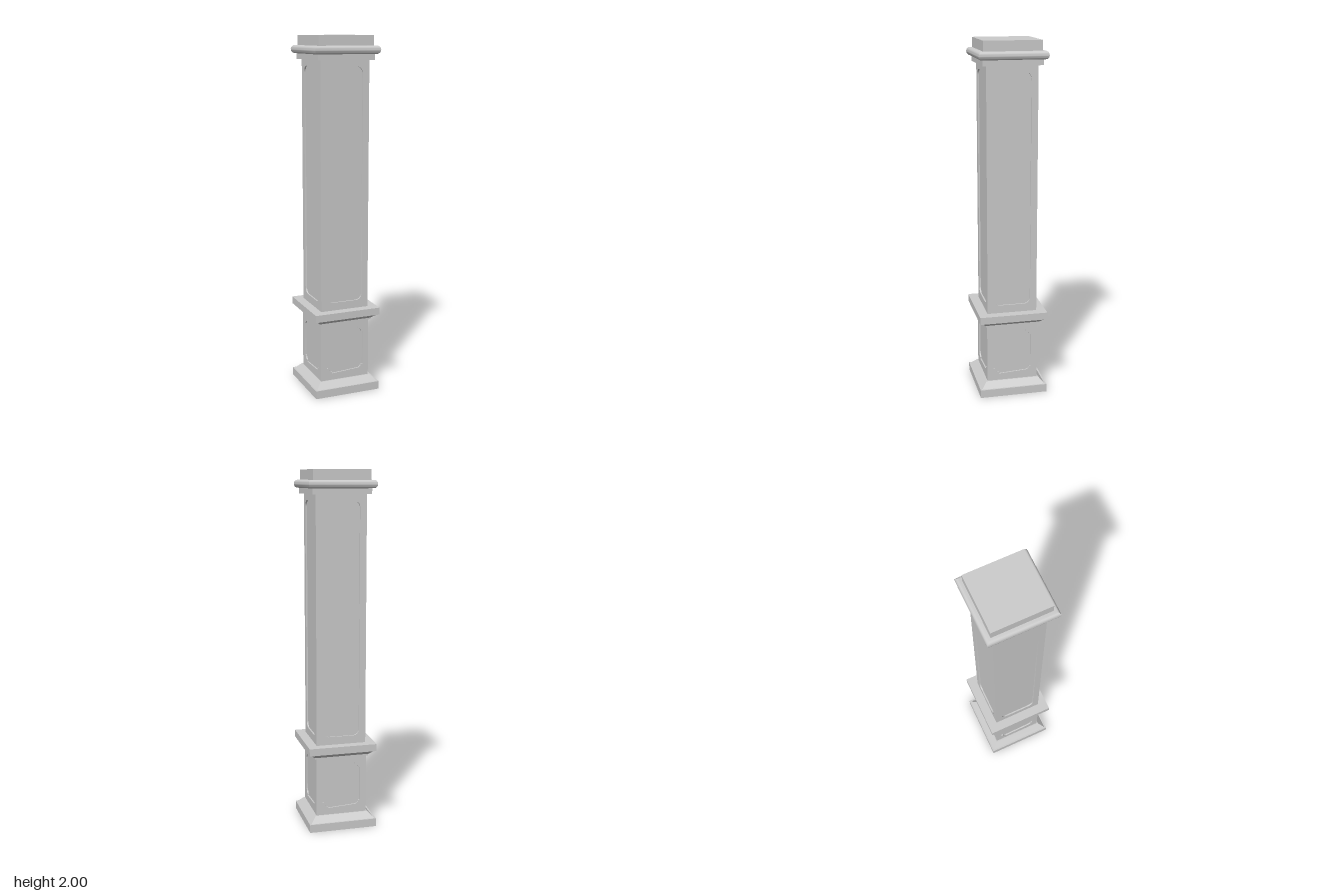
import * as THREE from 'three';
import { toCreasedNormals } from 'three/addons/utils/BufferGeometryUtils.js';

const material = new THREE.MeshStandardMaterial({ color: 0xcccccc });

function addMesh(parent, name, geometry) {
  const mesh = new THREE.Mesh(geometry, material);
  mesh.name = name;
  parent.add(mesh);
  return mesh;
}

// Square moulding: a [halfWidth, y] profile, bottom to top, turned with four sides
function squareMoulding(profile) {
  const pts = [[0, profile[0][1]], ...profile, [0, profile.at(-1)[1]]]
    .map(([h, y]) => new THREE.Vector2(h * Math.SQRT2, y));
  const geo = new THREE.LatheGeometry(pts, 4).rotateY(Math.PI / 4);
  return toCreasedNormals(geo, 0.55);
}

// Panel outline with rounded corners
function roundedPanel(w, y0, y1, r) {
  const p = new THREE.Path();
  p.absarc(w - r, y0 + r, r, -Math.PI / 2, 0);
  p.absarc(w - r, y1 - r, r, 0, Math.PI / 2);
  p.absarc(-w + r, y1 - r, r, Math.PI / 2, Math.PI);
  p.absarc(-w + r, y0 + r, r, Math.PI, Math.PI * 1.5);
  p.closePath();
  return p;
}

// Panel outline with a small step and a rounded shoulder at each corner
function notchedPanel(w, y0, y1, s, r) {
  const p = new THREE.Path();
  const corners = [[w, y0, 1, -1], [w, y1, 1, 1], [-w, y1, -1, 1], [-w, y0, -1, -1]];
  corners.forEach(([x, y, sx, sy], i) => {
    const a = i * Math.PI / 2 - Math.PI / 2;
    const before = [x - sx * (s + r), y], after = [x, y - sy * (s + r)];
    const [from, to] = i % 2 ? [after, before] : [before, after];
    p[i ? 'lineTo' : 'moveTo'](...from);
    p.absarc(x - sx * (s + r), y - sy * (s + r), r, a, a + Math.PI / 2);
    p.lineTo(...to);
  });
  p.closePath();
  return p;
}

// Square shaft with a sunk panel on each side: a core and four mitred frames
function panelledShaft(name, h, y0, y1, depth, hole) {
  const group = new THREE.Group();
  group.name = name;
  const core = new THREE.BoxGeometry(2 * (h - depth), y1 - y0, 2 * (h - depth));
  addMesh(group, name + 'Core', core.translate(0, (y0 + y1) / 2, 0));

  const shape = new THREE.Shape([[-h, y0], [h, y0], [h, y1], [-h, y1]]
    .map(([x, y]) => new THREE.Vector2(x, y)));
  shape.holes.push(hole);
  const frame = new THREE.ExtrudeGeometry(shape, { depth, bevelEnabled: false, curveSegments: 8 });
  // Pull in the back edges so neighbouring frames meet in a mitre
  const pos = frame.attributes.position;
  for (let i = 0; i < pos.count; i++) {
    const x = pos.getX(i);
    if (pos.getZ(i) < depth / 2 && Math.abs(x) > h - 1e-4) pos.setX(i, Math.sign(x) * (h - depth));
  }
  frame.translate(0, 0, h - depth);
  const geo = toCreasedNormals(frame, 0.6);
  for (let i = 0; i < 4; i++) addMesh(group, name + 'Frame', geo).rotation.y = i * Math.PI / 2;
  return group;
}

export function createModel() {
  const model = new THREE.Group();
  model.name = 'squareColumn';

  // Plinth with sloped top
  addMesh(model, 'plinth', squareMoulding(
    [[0.193, 0], [0.193, 0.046], [0.184, 0.046], [0.152, 0.08]]));

  // Pedestal block and long shaft
  model.add(panelledShaft('pedestal', 0.145, 0.08, 0.415, 0.008,
    notchedPanel(0.11, 0.118, 0.378, 0.01, 0.022)));
  model.add(panelledShaft('shaft', 0.141, 0.49, 1.87, 0.008,
    roundedPanel(0.104, 0.535, 1.835, 0.035)));

  // Ledge between pedestal and shaft
  addMesh(model, 'ledge', squareMoulding(
    [[0.155, 0.415], [0.155, 0.424], [0.184, 0.449], [0.193, 0.449], [0.193, 0.49]]));

  // Capital: collar, rounded roll and top block
  addMesh(model, 'collar', squareMoulding([[0.163, 1.87], [0.163, 1.902]]));
  const roll = [];
  for (let i = 0; i <= 10; i++) {
    const a = (i / 10 - 0.5) * Math.PI;
    roll.push([0.171 + 0.017 * Math.cos(a), 1.923 + 0.022 * Math.sin(a)]);
  }
  addMesh(model, 'roll', squareMoulding(roll));
  addMesh(model, 'topBlock', squareMoulding([[0.159, 1.943], [0.159, 2]]));

  return model;
}
